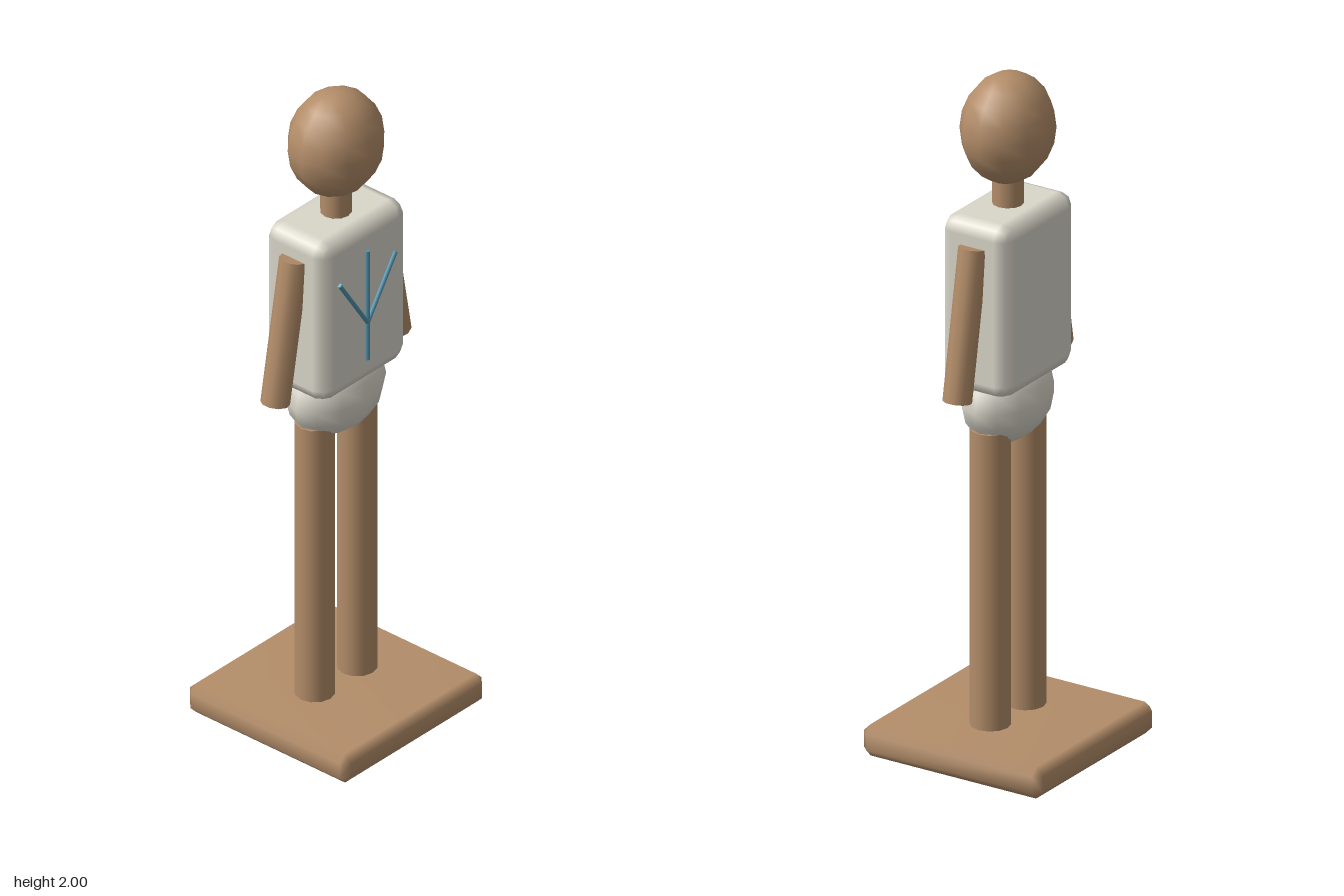
import * as THREE from 'three';
import { mergeVertices } from 'three/addons/utils/BufferGeometryUtils.js';
import { RoundedBoxGeometry } from 'three/addons/geometries/RoundedBoxGeometry.js';
import { ConvexGeometry } from 'three/addons/geometries/ConvexGeometry.js';

// Box with one softly shaded chamfer on every edge
function chamferedBox(w, h, d, c) {
  const points = [];
  for (const sx of [-1, 1]) for (const sy of [-1, 1]) for (const sz of [-1, 1]) {
    for (let axis = 0; axis < 3; axis++) {
      const inset = [c, c, c];
      inset[axis] = 0;
      points.push(new THREE.Vector3(
        sx * (w / 2 - inset[0]), sy * (h / 2 - inset[1]), sz * (d / 2 - inset[2])));
    }
  }
  const hull = new ConvexGeometry(points);
  hull.deleteAttribute('normal');
  const geometry = mergeVertices(hull, 1e-4);
  geometry.computeVertexNormals();
  return geometry;
}

function ellipsoid(rx, ry, rz, rows) {
  return new THREE.SphereGeometry(1, 12, rows).scale(rx, ry, rz);
}

export function createModel() {
  const model = new THREE.Group();
  model.name = 'standingFigure';

  const wood = new THREE.MeshStandardMaterial({ color: 0xb38d69 });
  wood.name = 'wood';
  const cloth = new THREE.MeshStandardMaterial({ color: 0xdad6ca });
  cloth.name = 'cloth';
  const blue = new THREE.MeshStandardMaterial({ color: 0x4f92ad });
  blue.name = 'blue';

  function add(name, geometry, material, x, y, z) {
    const mesh = new THREE.Mesh(geometry, material);
    mesh.name = name;
    mesh.position.set(x, y, z);
    model.add(mesh);
    return mesh;
  }

  // Round rod between two points
  function rod(name, from, to, radius, sides, material) {
    const a = new THREE.Vector3(...from);
    const b = new THREE.Vector3(...to);
    const mid = a.clone().add(b).multiplyScalar(0.5);
    const mesh = add(name, new THREE.CylinderGeometry(radius, radius, a.distanceTo(b), sides),
      material, mid.x, mid.y, mid.z);
    mesh.quaternion.setFromUnitVectors(new THREE.Vector3(0, 1, 0), b.sub(a).normalize());
  }

  // Base, body and head
  add('base', chamferedBox(0.588, 0.094, 0.588, 0.023), wood, 0, 0.047, 0);
  add('pelvis', ellipsoid(0.168, 0.13, 0.11, 8), cloth, 0, 1.043, 0);
  add('torso', new RoundedBoxGeometry(0.354, 0.515, 0.222, 1, 0.042), cloth, 0, 1.358, 0);
  rod('neck', [0, 1.58, 0], [0, 1.72, 0], 0.044, 12, wood);
  add('head', ellipsoid(0.147, 0.16, 0.128, 10), wood, 0, 1.84, 0);

  // Limbs and the slanted chest strips, mirrored
  for (const [side, s] of [['left', 1], ['right', -1]]) {
    rod(side + 'Leg', [s * 0.088, 0.08, 0], [s * 0.088, 0.975, 0], 0.057, 12, wood);
    rod(side + 'Arm', [s * 0.252, 1.111, 0], [s * 0.174, 1.543, 0], 0.041, 10, wood);
    rod(side + 'ChestStrip', [0, 1.3, 0.115], [s * 0.116, 1.475, 0.115], 0.0065, 8, blue);
  }
  rod('middleChestStrip', [0, 1.18, 0.115], [0, 1.532, 0.115], 0.0065, 8, blue);

  return model;
}
